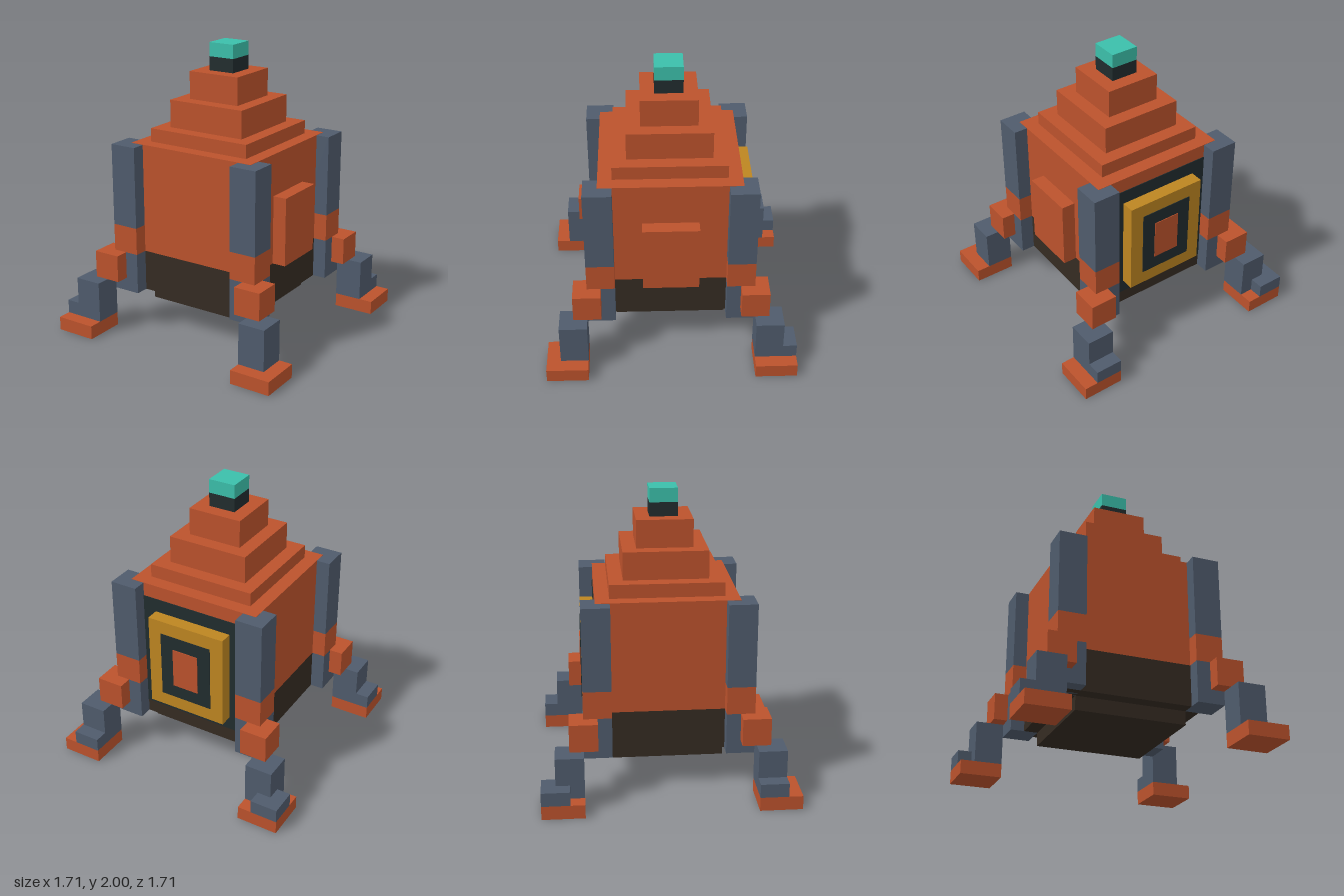
import * as THREE from 'three';

const U = 2 / 21; // one block

const paint = (name, color) => {
  const m = new THREE.MeshStandardMaterial({ color });
  m.name = name;
  return m;
};

export function createModel() {
  const orange = paint('orange', 0xbb522c);
  const slate = paint('slate', 0x4f5b6c);
  const brown = paint('dark brown', 0x352b22);
  const black = paint('blackish teal', 0x212c2e);
  const teal = paint('teal', 0x3bbfaa);
  const gold = paint('gold', 0xbd8521);

  const model = new THREE.Group();
  model.name = 'lander';

  // Box between two corners given in blocks
  const box = (parent, name, mat, x0, x1, y0, y1, z0, z1) => {
    const g = new THREE.BoxGeometry(Math.abs(x1 - x0) * U, (y1 - y0) * U, Math.abs(z1 - z0) * U);
    g.translate((x0 + x1) / 2 * U, (y0 + y1) / 2 * U, (z0 + z1) / 2 * U);
    const mesh = new THREE.Mesh(g, mat);
    mesh.name = name;
    parent.add(mesh);
  };
  const tier = (name, mat, r, y0, y1) => box(model, name, mat, -r, r, y0, y1, -r, r);

  // Hull and stepped roof, from the bottom up
  tier('bottomPlate', brown, 4, 2, 3);
  tier('lowerHull', brown, 5, 3, 6);
  tier('hull', orange, 5, 6, 14.02); // just covers the inner corners of the pillars
  tier('roofStep1', orange, 4, 14, 15);
  tier('roofStep2', orange, 3, 15, 17);
  tier('roofStep3', orange, 2, 17, 19);
  tier('mast', black, 1, 19, 20);
  tier('beacon', teal, 1, 20, 21);

  // Equipment box on the left side
  box(model, 'sideBox', orange, 5, 6, 6, 11, -2, 2);

  // Back hatch: dark frame, raised gold door and window plates
  const t = 0.05;
  box(model, 'hatchFrame', black, -4, 4, 4, 13, -5 - t, -5);
  box(model, 'hatchDoor', gold, -3, 3, 5, 12, -6, -5);
  box(model, 'hatchWindowRim', black, -2, 2, 6, 11, -6 - t, -6);
  box(model, 'hatchWindow', orange, -1, 1, 7, 10, -6 - 2 * t, -6 - t);

  // Four legs, stepping outwards along the diagonals
  for (const sx of [-1, 1]) for (const sz of [-1, 1]) {
    const leg = new THREE.Group();
    leg.name = (sz > 0 ? 'front' : 'back') + (sx > 0 ? 'Left' : 'Right') + 'Leg';
    model.add(leg);
    const part = (name, mat, a, b, y0, y1) =>
      box(leg, name, mat, sx * a, sx * b, y0, y1, sz * a, sz * b);
    part('pillar', slate, 4, 6, 8, 14);
    part('pillarBand', orange, 4, 6, 6, 8);
    part('pillarBase', slate, 4, 6, 3, 6);
    part('knee', orange, 5, 7, 4, 6);
    part('shin', slate, 6, 8, 1, 4);
    part('foot', orange, 6, 9, 0, 1);
    // Ankle block reaches outwards only towards the right and the back
    if (sx < 0 || sz < 0) {
      const ax = sx < 0 ? [-9, -7] : [6, 8];
      const az = sz < 0 ? [-9, -7] : [6, 8];
      box(leg, 'ankle', slate, ...ax, 1, 2, ...az);
    }
  }
  return model;
}
